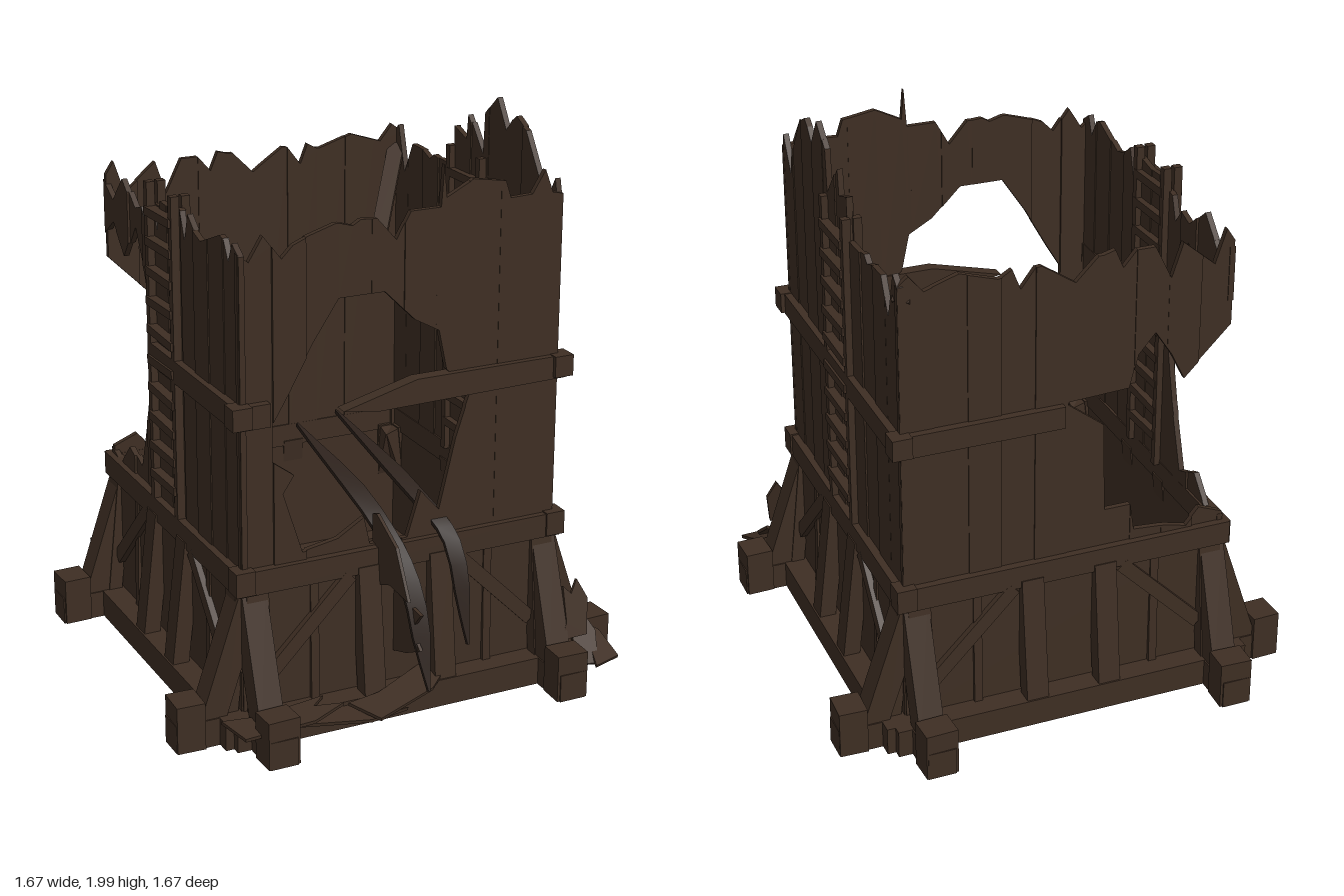
import * as THREE from 'three';

const wood = new THREE.MeshStandardMaterial({ color: 0x3e2e23, side: THREE.DoubleSide });
wood.name = 'weathered wood';
const dark = new THREE.MeshStandardMaterial({ color: 0x2b201a, side: THREE.DoubleSide });
dark.name = 'dark fallen wood';

let seed = 7;
const rnd = () => (seed = (seed * 16807) % 2147483647) / 2147483647;
const V = (x, y, z) => new THREE.Vector3(x, y, z);

function add(parent, name, geo, mat = wood) {
  const m = new THREE.Mesh(geo, mat);
  m.name = name;
  parent.add(m);
  return m;
}
function box(parent, name, w, h, d, x, y, z) {
  const m = add(parent, name, new THREE.BoxGeometry(w, h, d));
  m.position.set(x, y, z);
  return m;
}
// Square timber between two points
function beam(parent, name, a, b, w, h = w) {
  const m = add(parent, name, new THREE.BoxGeometry(w, h, a.distanceTo(b)));
  m.position.copy(a).add(b).multiplyScalar(0.5);
  m.lookAt(b);
  return m;
}
// Flat board cut from an outline
function board(parent, name, pts, depth) {
  const s = new THREE.Shape(pts.map(p => new THREE.Vector2(p[0], p[1])));
  return add(parent, name, new THREE.ExtrudeGeometry(s, { depth, bevelEnabled: false }));
}
// Height of a polyline [[u, y], ...] at u
function at(line, u) {
  if (u <= line[0][0]) return line[0][1];
  for (let i = 1; i < line.length; i++) {
    const [u0, y0] = line[i - 1], [u1, y1] = line[i];
    if (u <= u1) return y0 + (y1 - y0) * (u - u0) / (u1 - u0 || 1);
  }
  return line[line.length - 1][1];
}
// Edge points of a polyline within one plank
const cut = (line, a, b) => [[a, at(line, a + 1e-4)],
  ...line.filter(p => p[0] > a + 0.004 && p[0] < b - 0.004), [b, at(line, b - 1e-4)]];

// Wall of upright planks with a ragged top and an optional hole between low and high
function plankWall(name, splinter, top, low, high) {
  const g = new THREE.Group();
  g.name = name;
  const piece = (under, over, z) => {
    board(g, 'wallPlank', [...under, ...over.reverse()], 0.02).position.z = z;
  };
  const n = 10, w = 1.18 / n;
  for (let i = 0; i < n; i++) {
    const a = -0.59 + i * w, b = a + w, z = rnd() * 0.01;
    const ragged = cut(top, a, b);
    if (ragged.length === 2) { // splintered end
      const m = a + w * (0.2 + rnd() * 0.3), d = splinter * (0.4 + rnd() * 0.6);
      ragged.splice(1, 0, [m, at(top, m) - d], [m + w * 0.25, at(top, m) + d * 0.2]);
    }
    const base = [[a, 0.56], [b, 0.56]];
    if (low && b > low[0][0] + 0.01 && a < low[low.length - 1][0] - 0.01) {
      piece(base, cut(low, a, b), z);
      piece(cut(high, a, b), ragged, z);
    } else piece(base, ragged, z);
  }
  return g;
}

// Rails and rungs, showing on both faces of a side wall
function ladder(sign) {
  const g = new THREE.Group();
  g.name = 'ladder';
  for (const x of [0.6, 0.56]) {
    for (const z of [0.09, -0.125])
      box(g, 'ladderRail', 0.03, 1.16, 0.028, sign * x, 1.18, z);
    for (let i = 0; i < 10; i++)
      box(g, 'ladderRung', 0.04, 0.03, 0.22, sign * (x + 0.003), 0.71 + i * 0.106, -0.015).rotation.x = (rnd() - 0.5) * 0.08;
  }
  return g;
}

// Bent plank following a curve, pointed at both ends
function bentPlank(parent, pts, width) {
  const curve = new THREE.CatmullRomCurve3(pts.map(p => V(...p)));
  const geo = new THREE.BoxGeometry(1, 1, 0.015, 1, 12, 1), p = geo.attributes.position;
  for (let i = 0; i < p.count; i++) {
    const t = p.getY(i) + 0.5, c = curve.getPoint(t), tan = curve.getTangent(t);
    const n = tan.clone().cross(V(1, 0, 0)).normalize();
    const w = width * Math.min(1, 0.1 + 4 * t, 0.1 + 5 * (1 - t));
    c.addScaledVector(n, p.getZ(i)).add(V(p.getX(i) * w, 0, 0));
    p.setXYZ(i, c.x, c.y, c.z);
  }
  geo.computeVertexNormals();
  add(parent, 'fallenPlank', geo, dark);
}

// One side of the braced, hollow foot
function footSide() {
  const g = new THREE.Group();
  g.name = 'footSide';
  box(g, 'groundLog', 1.67, 0.1, 0.1, 0, 0.05, 0.55);
  box(g, 'sill', 1.3, 0.1, 0.1, 0, 0.051, 0.63);
  box(g, 'skirtPanel', 1.18, 0.5, 0.025, 0, 0.34, 0.583);
  box(g, 'lowerBand', 1.22, 0.085, 0.05, 0, 0.57, 0.59);
  for (const s of [-1, 1]) {
    box(g, 'logEnd', 0.1, 0.17, 0.115, s * 0.782, 0.086, 0.55).rotation.y = s * 0.04;
    beam(g, 'slantedLeg', V(s * 0.705, 0.08, 0.55), V(s * 0.55, 0.54, 0.55), 0.09);
    beam(g, 'cornerStud', V(s * 0.54, 0.09, 0.63), V(s * 0.54, 0.55, 0.58), 0.08, 0.05);
    beam(g, 'middleStud', V(s * 0.135, 0.09, 0.645), V(s * 0.135, 0.55, 0.59), 0.08, 0.06);
    beam(g, 'brace', V(s * 0.5, 0.23, 0.6), V(s * 0.2, 0.53, 0.595), 0.04, 0.05);
    beam(g, 'thinStud', V(s * 0.33, 0.09, 0.6), V(s * 0.33, 0.55, 0.59), 0.03, 0.02);
  }
  return g;
}

export function createModel() {
  seed = 7;
  const root = new THREE.Group();
  root.name = 'ruinedTower';

  // Foot and ground floor
  for (let i = 0; i < 4; i++) {
    const side = footSide();
    side.rotation.y = i * Math.PI / 2;
    root.add(side);
  }
  box(root, 'groundFloor', 1.28, 0.09, 1.28, 0, 0.046, 0);

  // Walls
  const front = plankWall('frontWall', 0.02,
    [[-0.6, 1.7], [-0.55, 1.66], [-0.5, 1.74], [-0.44, 1.66], [-0.4, 1.7], [-0.35, 1.72], [-0.25, 1.75], [-0.1, 1.75],
      [-0.03, 1.67], [0.02, 1.76], [0.13, 1.76], [0.14, 1.9], [0.15, 1.79], [0.25, 1.84], [0.37, 1.82], [0.39, 1.76],
      [0.47, 1.76], [0.52, 1.84], [0.55, 1.76], [0.6, 1.75]],
    [[-0.48, 0.98], [-0.4, 0.92], [-0.44, 0.86], [-0.37, 0.64], [-0.24, 0.66], [-0.14, 0.72], [-0.12, 0.62], [0.02, 0.62],
      [0.07, 0.78], [0.14, 0.7], [0.2, 0.95], [0.25, 1.1]],
    [[-0.48, 1.1], [-0.42, 1.2], [-0.33, 1.36], [-0.24, 1.5], [-0.07, 1.5], [0.04, 1.39], [0.13, 1.34], [0.16, 1.2], [0.25, 1.11]]);
  front.position.z = 0.565;
  const back = plankWall('backWall', 0.13,
    [[-0.6, 1.66], [-0.56, 1.72], [-0.52, 1.6], [-0.4, 1.7], [-0.36, 1.58], [-0.3, 1.7], [-0.1, 1.7], [-0.02, 1.62], [0.1, 1.7],
      [0.25, 1.68], [0.38, 1.72], [0.5, 1.68], [0.55, 1.74], [0.6, 1.7]],
    [[-0.6, 0.64], [-0.5, 0.68], [-0.45, 0.62], [-0.37, 0.64], [-0.25, 0.65], [-0.24, 0.75], [-0.14, 0.75], [-0.13, 1.08], [0, 1.18]],
    [[-0.6, 1.38], [-0.5, 1.28], [-0.42, 1.2], [-0.37, 1.3], [-0.31, 1.39], [-0.25, 1.32], [-0.22, 1.2], [0, 1.19]]);
  back.position.z = -0.595;
  const plus = plankWall('ladderWallLeft', 0.03,
    [[-0.6, 1.7], [-0.55, 1.74], [-0.5, 1.57], [-0.44, 1.69], [-0.13, 1.68], [-0.12, 1.83], [-0.03, 1.8], [-0.02, 1.89], [0.08, 1.77],
      [0.09, 1.92], [0.17, 1.99], [0.235, 1.87], [0.24, 1.96], [0.38, 1.92], [0.48, 1.77], [0.5, 1.68], [0.57, 1.8], [0.6, 1.68]]);
  plus.position.x = 0.595;
  const minus = plankWall('ladderWallRight', 0.1,
    [[-0.6, 1.66], [-0.5, 1.6], [-0.4, 1.7], [-0.3, 1.62], [-0.12, 1.68], [0.1, 1.72], [0.3, 1.66], [0.45, 1.72], [0.6, 1.68]],
    [[-0.6, 0.64], [-0.5, 0.6], [-0.4, 0.7], [-0.3, 0.66], [-0.22, 0.9], [-0.15, 1.18]],
    [[-0.6, 1.45], [-0.5, 1.52], [-0.4, 1.42], [-0.3, 1.55], [-0.22, 1.4], [-0.15, 1.2]]);
  minus.position.x = -0.565;
  plus.rotation.y = minus.rotation.y = -Math.PI / 2;
  root.add(front, back, plus, minus, ladder(1), ladder(-1));

  // Upper band, snapped where the walls are open
  const y = 1.15;
  beam(root, 'upperBand', V(0.59, y, -0.61), V(0.59, y, 0.61), 0.05, 0.08);
  beam(root, 'upperBand', V(-0.59, y, -0.14), V(-0.59, y, 0.61), 0.05, 0.08);
  beam(root, 'upperBand', V(0.02, y, -0.59), V(0.61, y, -0.59), 0.05, 0.08);
  beam(root, 'upperBand', V(-0.61, y, 0.59), V(-0.49, y, 0.59), 0.05, 0.08);
  board(root, 'upperBand', [[0.61, 1.11], [0.61, 1.19], [0.04, 1.19], [-0.23, 1.12], [-0.1, 1.1]], 0.05).position.z = 0.565;
  for (const [sx, sz] of [[1, 1], [-1, 1], [1, -1]]) {
    box(root, 'bandCorner', 0.07, 0.075, 0.07, sx * 0.595, 1.155, sz * 0.595);
    box(root, 'bandCorner', 0.07, 0.085, 0.07, sx * 0.587, 0.575, sz * 0.587);
  }

  // Planks fallen out over the front
  const rubble = new THREE.Group();
  rubble.name = 'rubble';
  root.add(rubble);
  const shard = (pts, pos, rot) => {
    const m = board(rubble, 'brokenBoard', pts, 0.012);
    m.position.set(...pos);
    m.rotation.set(...rot);
  };
  bentPlank(rubble, [[-0.14, 0.87, 0.06], [-0.07, 0.7, 0.5], [-0.02, 0.5, 0.69], [0, 0.14, 0.8]], 0.07);
  bentPlank(rubble, [[0.04, 0.87, 0], [0.11, 0.72, 0.48], [0.16, 0.6, 0.65], [0.18, 0.25, 0.74]], 0.06);
  const turn = Math.PI / 2;
  shard([[-0.57, 0.72], [-0.6, 0.73], [-0.74, 0.66], [-0.83, 0.5], [-0.7, 0.51], [-0.57, 0.46]], [-0.1, 0, 0], [0, turn, 0]);
  shard([[-0.57, 0.44], [-0.79, 0.42], [-0.72, 0.34], [-0.79, 0.29], [-0.69, 0.24], [-0.57, 0.2]], [-0.03, 0, 0], [0, turn, 0]);

  // Loose boards outside and on the floor
  const splinter = [[-0.2, -0.05], [0.06, -0.06], [0.2, -0.01], [0.1, 0.02], [0.16, 0.06], [-0.1, 0.05], [-0.22, 0.08]];
  for (const [x, h, z, a, tilt] of [[-0.47, 0.1, 0.71, 0.1, 0.1], [-0.25, 0.07, 0.71, -0.2, 0.15], [-0.02, 0.1, 0.69, 0.4, 0.2],
    [-0.4, 0.13, 0.42, -0.1, 0.1], [-0.1, 0.16, 0.42, 0.6, 0.3], [0.12, 0.18, 0.45, -0.5, 0.3], [0.35, 0.16, 0.45, 0.2, 0.4],
    [0.22, 0.15, 0.34, 1.1, 0.1]])
    shard(splinter, [x, h, z], [-turn + tilt, 0, a]);
  shard([[-0.3, -0.1], [0.3, -0.08], [0.25, 0.08], [-0.3, 0.14]], [-0.26, 0.11, 0.38], [-turn, 0, -0.1]);
  for (const [x, h, a, tilt] of [[0.68, 0.14, 1.3, 0.7], [0.72, 0.12, 1.7, 0.4], [0.64, 0.27, 1.5, 1.3]])
    shard(splinter.map(p => [p[0] * 0.5, p[1] * 0.8]), [x, h, 0.68], [-turn + tilt, 0, a]);

  // Splintered pole hanging in the back corner
  beam(rubble, 'hangingPole', V(0.57, 1.66, -0.57), V(0.34, 1.3, -0.3), 0.06, 0.02);
  shard(splinter.map(p => [p[0] * 0.5, p[1]]), [0.32, 1.3, -0.29], [-turn, 0, 0.6]);
  return root;
}
